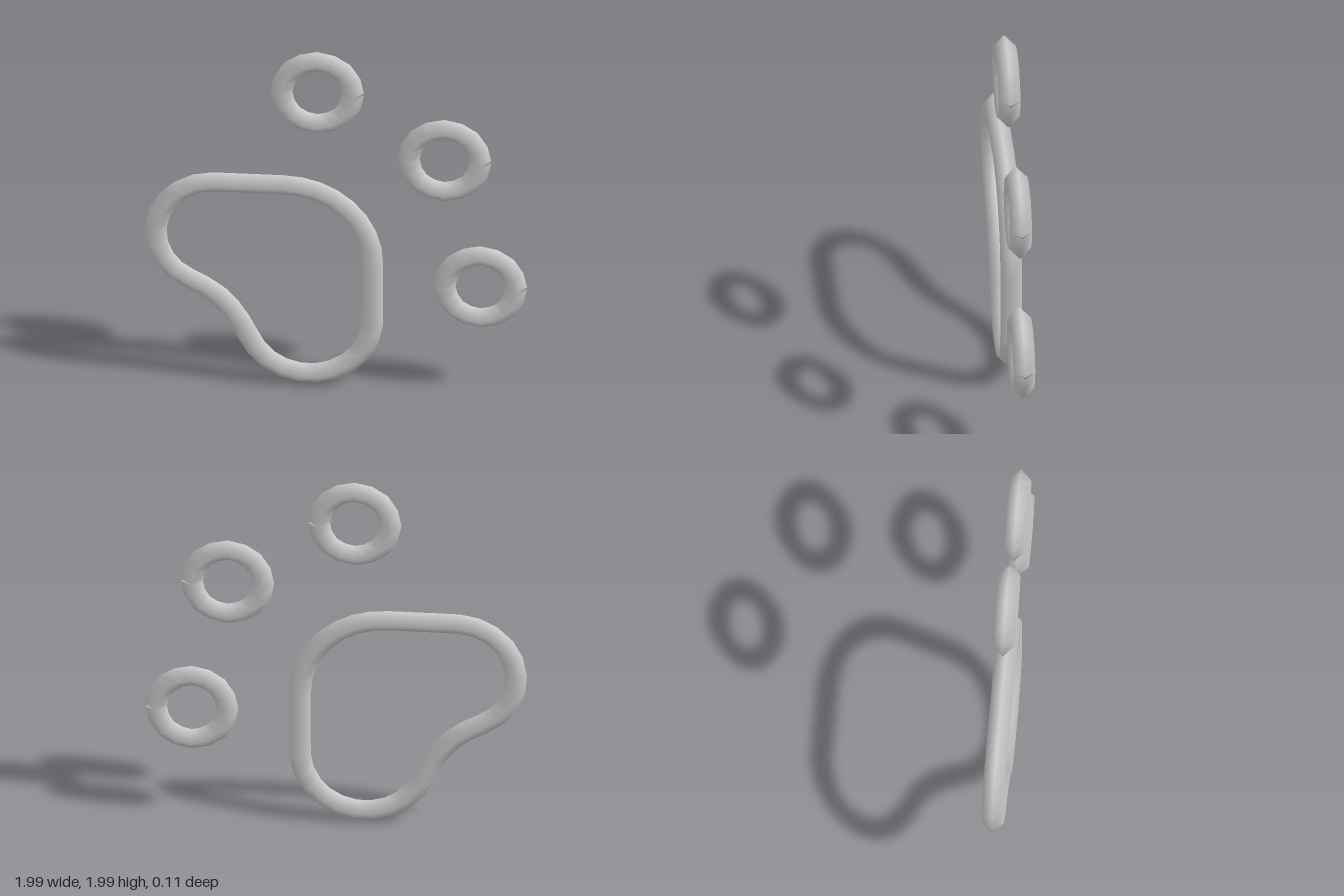
import * as THREE from 'three';

const TUBE = 0.057;

// Open four-sided tube swept along straight steps between flat points
function sweep(points, segments, material, name) {
  const path = new THREE.CurvePath();
  for (let i = 1; i < points.length; i++) {
    const a = points[i - 1], b = points[i];
    if (a.distanceTo(b) < 1e-5) continue;
    path.add(new THREE.LineCurve3(
      new THREE.Vector3(a.x, a.y, 0),
      new THREE.Vector3(b.x, b.y, 0)
    ));
  }
  const mesh = new THREE.Mesh(new THREE.TubeGeometry(path, segments, TUBE, 4, false), material);
  mesh.name = name;
  return mesh;
}

export function createModel() {
  const group = new THREE.Group();
  group.name = 'pawOutline';
  const grey = new THREE.MeshStandardMaterial({ color: 0xcccccc, side: THREE.DoubleSide });
  grey.name = 'lightGrey';
  const rad = THREE.MathUtils.degToRad;

  // Main pad: large shoulder, lower lobe, inward bend and left lobe
  const pad = new THREE.Path();
  pad.moveTo(-0.28, 1.193);
  pad.lineTo(-0.26, 1.193);
  pad.absarc(-0.26, 0.745, 0.447, rad(90), 0, true);
  pad.lineTo(0.187, 0.40);
  pad.absarc(-0.147, 0.40, 0.334, 0, rad(-153), true);
  pad.bezierCurveTo(-0.53, 0.43, -0.59, 0.53, -0.766, 0.604);
  pad.absarc(-0.635, 0.885, 0.308, rad(245), rad(90), true);
  pad.lineTo(-0.28, 1.193);
  group.add(sweep(pad.getPoints(12), 40, grey, 'mainPad'));

  // Toe rings, each with a small open seam on its left side
  const toes = [[-0.1, 1.757], [0.564, 1.38], [0.751, 0.628]];
  toes.forEach(([x, y], i) => {
    const circle = [];
    for (let k = 0; k <= 24; k++) {
      const a = (k / 24) * Math.PI * 2;
      circle.push(new THREE.Vector2(0.187 * Math.cos(a), 0.187 * Math.sin(a)));
    }
    const toe = sweep(circle, 16, grey, 'toeRing' + (i + 1));
    toe.position.set(x, y, 0);
    group.add(toe);
  });
  return group;
}
